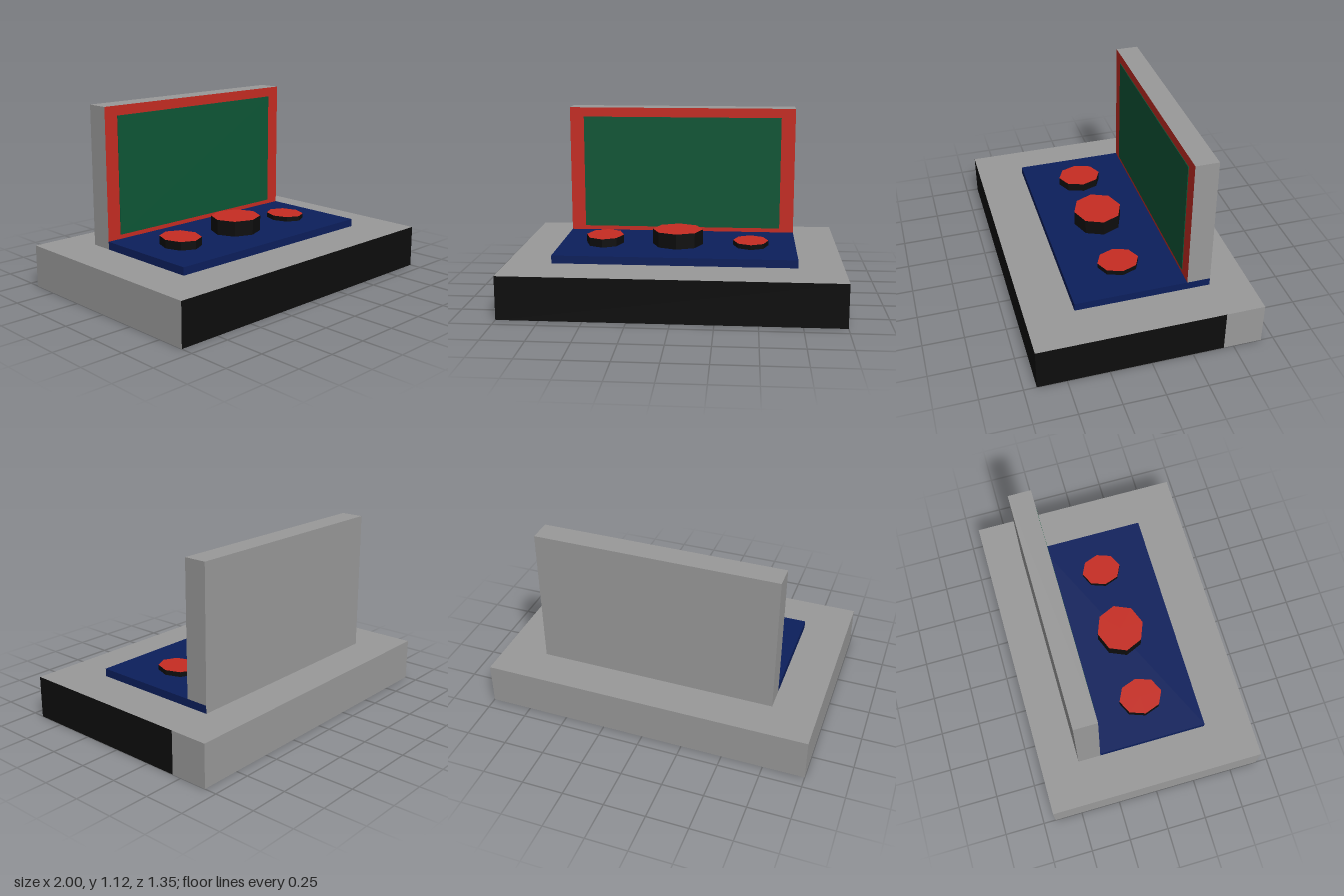
import * as THREE from 'three';

export function createModel() {
  const mat = (name, color) => {
    const m = new THREE.MeshStandardMaterial({ color });
    m.name = name;
    return m;
  };
  const gray = mat('gray', 0x999999);
  const black = mat('black', 0x0d0d0d);
  const red = mat('red', 0xc62c22);
  const blue = mat('blue', 0x0c1f5c);
  const green = mat('green', 0x0d5636);

  const model = new THREE.Group();

  // Box from its limits; materials are one, or six in the order +x -x +y -y +z -z
  const box = (name, [x0, x1], [y0, y1], [z0, z1], material) => {
    const mesh = new THREE.Mesh(new THREE.BoxGeometry(x1 - x0, y1 - y0, z1 - z0), material);
    mesh.position.set((x0 + x1) / 2, (y0 + y1) / 2, (z0 + z1) / 2);
    mesh.name = name;
    model.add(mesh);
  };

  // Base slab: front and one flank are painted black up to the screen's back
  const wide = [-1, 1];
  box('baseFront', wide, [0, 0.26], [-0.44, 0.674], [black, gray, gray, gray, black, gray]);
  box('baseRear', wide, [0, 0.26], [-0.674, -0.44], gray);

  // Control plate, and the screen's foot with one end painted to match
  const inner = [-0.73, 0.73];
  box('controlPlate', inner, [0.26, 0.308], [-0.297, 0.384], blue);
  box('screenFoot', inner, [0.26, 0.308], [-0.438, -0.297], [blue, gray, gray, gray, blue, gray]);

  // Upright screen with a red front and a green display
  box('screen', inner, [0.308, 1.12], [-0.438, -0.297], [gray, gray, gray, gray, red, gray]);
  box('display', [-0.64, 0.64], [0.335, 1.06], [-0.297, -0.293], green);

  // Eight-sided knobs: x, half width, half depth, top height
  const knobs = [
    ['rightKnob', -0.456, 0.117, 0.137, 0.36],
    ['middleKnob', 0, 0.157, 0.15, 0.402],
    ['leftKnob', 0.453, 0.109, 0.127, 0.338],
  ];
  for (const [name, x, rx, rz, top] of knobs) {
    const h = top - 0.308;
    const geometry = new THREE.CylinderGeometry(1, 1, h, 8).toNonIndexed();
    geometry.scale(rx, 1, rz);
    geometry.computeVertexNormals();
    const knob = new THREE.Mesh(geometry, [black, red, black]);
    knob.position.set(x, 0.308 + h / 2, 0.044);
    knob.name = name;
    model.add(knob);
  }

  return model;
}
